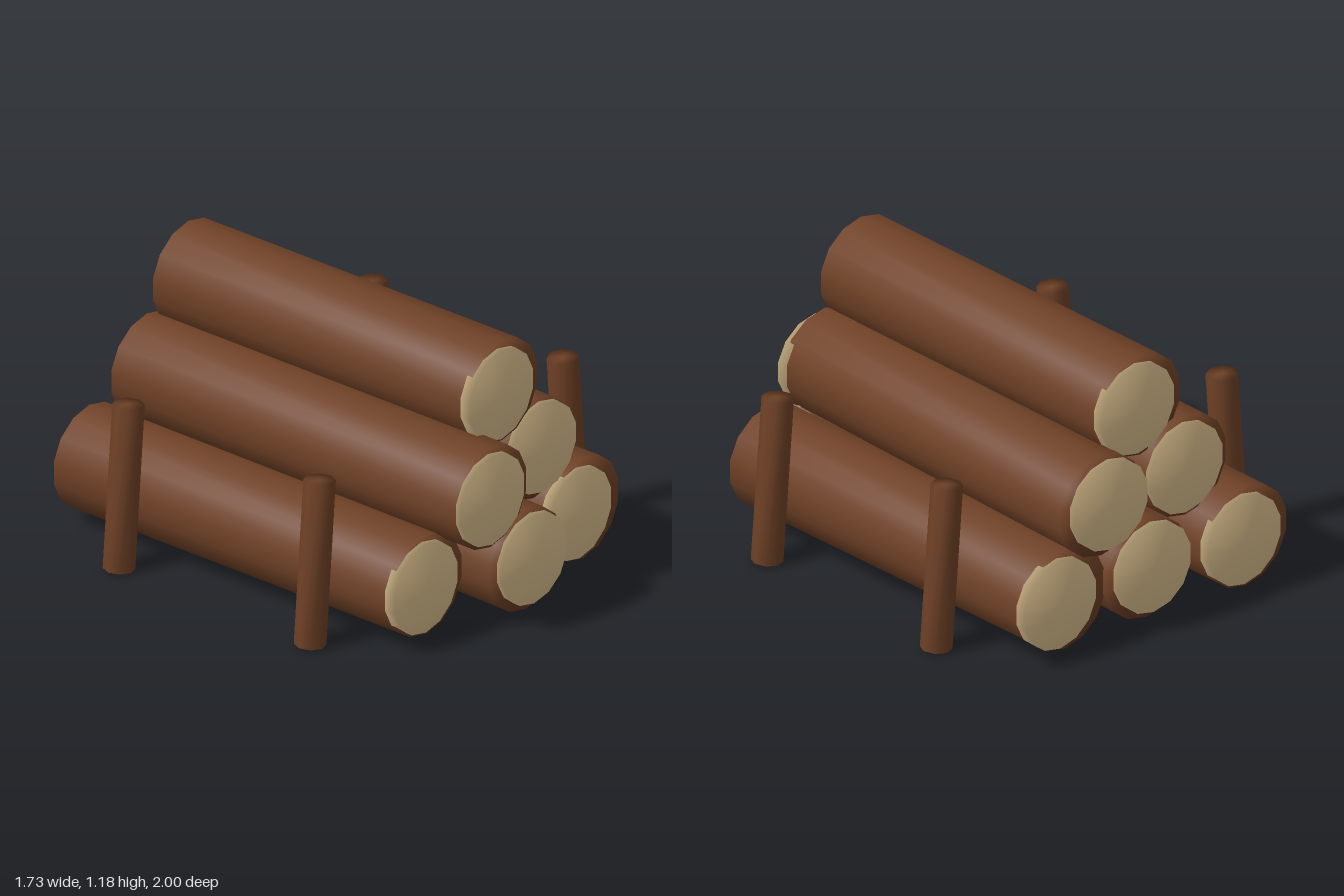
import * as THREE from 'three';
import { mergeVertices } from 'three/addons/utils/BufferGeometryUtils.js';

// Cylinder whose normals are shared across rims, giving softly rounded shading
function softCylinder(radius, length, sides) {
  const g = new THREE.CylinderGeometry(radius, radius, length, sides);
  g.deleteAttribute('normal');
  g.deleteAttribute('uv');
  const merged = mergeVertices(g, 1e-4);
  merged.computeVertexNormals();
  return merged;
}

export function createModel() {
  const bark = new THREE.MeshStandardMaterial({ color: 0x6f4126 });
  bark.name = 'bark brown';
  const cutWood = new THREE.MeshStandardMaterial({ color: 0xdcc08e });
  cutWood.name = 'cut wood';

  const model = new THREE.Group();
  model.name = 'logPile';

  // Each log: centre x, centre y, back z, front z, yaw
  const logs = [
    [-0.462, 0.255, -0.97, 0.82, 0.016],
    [0, 0.255, -0.912, 0.972, -0.012],
    [0.462, 0.255, -0.905, 0.84, 0.028],
    [-0.235, 0.615, -0.865, 0.972, 0.009],
    [0.233, 0.615, -0.91, 0.81, -0.017],
    [-0.002, 0.955, -0.843, 0.82, 0.018],
  ];
  const discGeometry = softCylinder(0.2, 0.05, 14).rotateX(Math.PI / 2);

  for (const [x, y, back, front, yaw] of logs) {
    const length = front - back;
    const mid = (front + back) / 2;
    const log = new THREE.Mesh(softCylinder(0.225, length, 14).rotateX(Math.PI / 2), bark);
    log.name = 'log';
    log.position.set(x, y, mid);
    log.rotation.y = yaw;
    model.add(log);

    // Pale sawn ends, set slightly off the log's axis
    for (const end of [-1, 1]) {
      const disc = new THREE.Mesh(discGeometry, cutWood);
      disc.name = 'sawnEnd';
      disc.position.set(x - (end * Math.sin(yaw) * length) / 2, y, mid + (end * length) / 2);
      disc.rotation.y = yaw;
      model.add(disc);
    }
  }

  // Four stakes leaning in against the pile
  const stakeGeometry = softCylinder(0.066, 0.722, 8);
  for (const side of [-1, 1]) {
    for (const z of [-0.525, 0.505]) {
      const stake = new THREE.Mesh(stakeGeometry, bark);
      stake.name = 'stake';
      stake.position.set(side * 0.768, 0.37, z);
      stake.rotation.z = side * 0.08;
      model.add(stake);
    }
  }
  return model;
}
